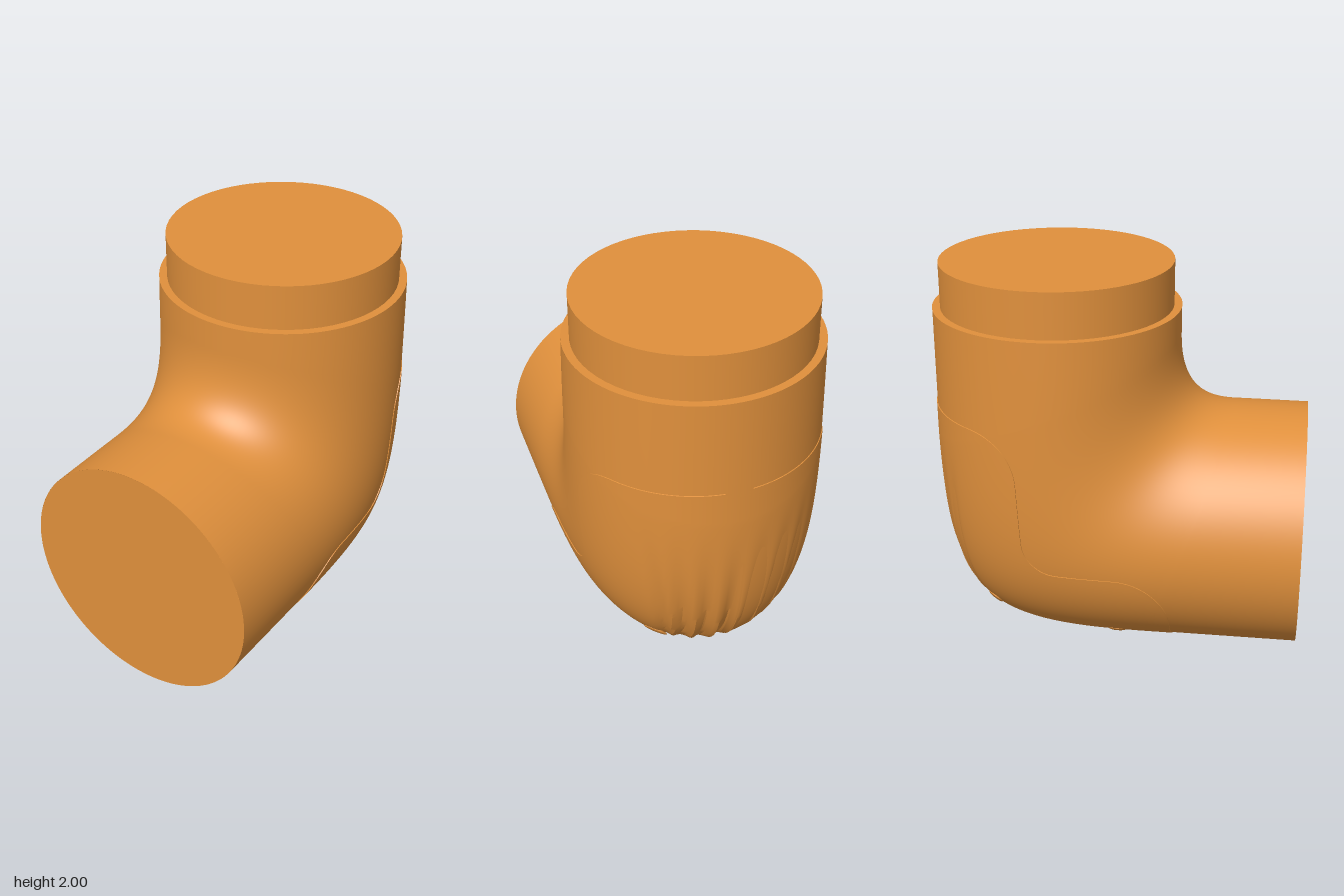
import * as THREE from 'three';
import { toCreasedNormals } from 'three/addons/utils/BufferGeometryUtils.js';

const V2 = (z, y) => new THREE.Vector2(z, y); // side-plane points are (z, y)
const lerp = THREE.MathUtils.lerp;

// Inner and outer profile of the bend
const innerBend = new THREE.QuadraticBezierCurve(V2(0.58, 1.255), V2(0.3, 1.255), V2(0.3, 1.62));
const outerBend = new THREE.CubicBezierCurve(V2(0.1, 0.004), V2(-0.75, 0.004), V2(-0.93, 0.13), V2(-0.947, 1.1));

// Profile at u: -1..0 front pipe, 0..1 bend, 1..2 upright pipe
function profile(curve, u) {
  const p = curve.getPoint(THREE.MathUtils.clamp(u, 0, 1));
  if (u < 0) p.x = lerp(p.x, 0.95, -u);
  if (u > 1) p.y = lerp(p.y, 1.77, u - 1);
  return p;
}

// Shallow flutes fanning over the heel
function flute(u, a) {
  const reach = 0.22 + 0.62 * THREE.MathUtils.clamp(u, 0, 1);
  const along = THREE.MathUtils.smoothstep(u, 0.3, 0.6) * (1 - THREE.MathUtils.smoothstep(u, 0.65, 1.0));
  const k = Math.abs(a) / reach;
  if (k > 1) return 0;
  const wave = 0.5 + 0.5 * Math.cos(k * Math.PI * 7);
  return -0.032 * along * wave * (1 - k ** 6);
}

// Surface point: a = 0 is the heel side, a = PI the inside of the bend
function surface(u, a, offset = 0) {
  const i = profile(innerBend, u), o = profile(outerBend, u);
  const c = i.clone().add(o).multiplyScalar(0.5);
  const half = o.clone().sub(c);
  const d = offset + flute(u, a);
  const bulge = 0.008 * Math.sin(Math.PI * THREE.MathUtils.clamp((u + 1) / 3, 0, 1));
  half.setLength(half.length() + d);
  return new THREE.Vector3(
    (0.625 + bulge + d) * Math.sin(a),
    c.y + half.y * Math.cos(a),
    c.x + half.x * Math.cos(a));
}

// Grid of points; the columns may wrap around
function gridGeometry(rows, cols, point, closed) {
  const pos = [], idx = [], w = closed ? cols : cols + 1;
  for (let i = 0; i <= rows; i++)
    for (let j = 0; j < w; j++) pos.push(...point(i, j).toArray());
  for (let i = 0; i < rows; i++)
    for (let j = 0; j < cols; j++) {
      const k = (j + 1) % w, a = i * w + j, b = a + w, c = i * w + k, d = c + w;
      idx.push(a, b, c, b, d, c);
    }
  const g = new THREE.BufferGeometry();
  g.setAttribute('position', new THREE.Float32BufferAttribute(pos, 3));
  g.setIndex(idx);
  g.computeVertexNormals();
  return g;
}

// Side outline of the heel panel
function panelOutline() {
  const s = new THREE.Shape();
  s.moveTo(0.31, -0.2);
  s.lineTo(0.31, 0.27);
  s.bezierCurveTo(0.31, 0.42, 0.19, 0.545, 0.04, 0.545);
  s.lineTo(-0.25, 0.545);
  s.bezierCurveTo(-0.34, 0.545, -0.42, 0.62, -0.42, 0.72);
  s.lineTo(-0.435, 1.03);
  s.bezierCurveTo(-0.44, 1.17, -0.54, 1.28, -0.68, 1.28);
  s.lineTo(-1.2, 1.28);
  s.lineTo(-1.2, -0.2);
  return s.getPoints(16);
}

function inside(poly, x, y) {
  let hit = false;
  for (let i = 0, j = poly.length - 1; i < poly.length; j = i++) {
    const p = poly[i], q = poly[j];
    if ((p.y > y) !== (q.y > y) && x < (q.x - p.x) * (y - p.y) / (q.y - p.y) + p.x) hit = !hit;
  }
  return hit;
}

function panelGeometry() {
  const poly = panelOutline(), rows = 160, cols = 72, u0 = -0.246, u1 = 1.267;
  const rowU = i => lerp(u0, u1, 0.5 - 0.5 * Math.cos(Math.PI * i / rows));
  // Angle at which each section leaves the outline
  const limit = [];
  for (let i = 0; i <= rows; i++) {
    let lo = 0.02, hi = 2.6;
    for (let n = 0; n < 24; n++) {
      const mid = (lo + hi) / 2, p = surface(rowU(i), mid);
      if (inside(poly, p.z, p.y)) lo = mid; else hi = mid;
    }
    limit.push(lo);
  }
  // The first and last columns fold inward as a rim
  const g = gridGeometry(rows, cols, (i, j) => {
    const t = THREE.MathUtils.clamp((j - 1) / (cols - 2), 0, 1);
    const rim = j === 0 || j === cols;
    return surface(rowU(i), lerp(-limit[i], limit[i], t), rim ? -0.008 : 0.004);
  }, false);
  return toCreasedNormals(g, 0.7);
}

export function createModel() {
  const group = new THREE.Group();
  const material = new THREE.MeshStandardMaterial({ color: 0xe0903c, side: THREE.DoubleSide });
  const add = (name, geometry) => {
    const m = new THREE.Mesh(geometry, material);
    m.name = name;
    group.add(m);
    return m;
  };

  // Elbow body
  const rows = 150, cols = 120;
  add('elbowBody', gridGeometry(rows, cols,
    (i, j) => surface(lerp(-1, 2, i / rows), j / cols * Math.PI * 2), true));

  // Front end cap and upper shoulder
  add('frontCap', new THREE.CircleGeometry(0.625, 96)).position.set(0, 0.6295, 0.95);
  const shoulder = add('shoulder', new THREE.CircleGeometry(0.625, 96));
  shoulder.rotation.x = -Math.PI / 2;
  shoulder.position.set(0, 1.77, -0.3235);

  // Stepped collar on top
  add('collar', new THREE.CylinderGeometry(0.585, 0.585, 0.24, 64)).position.set(0, 1.88, -0.3235);

  // Heel panel
  add('heelPanel', panelGeometry());

  // Round studs on both sides of the heel
  for (const side of [-1, 1])
    for (const [u, a, rx, ry] of [[0.05, 0.58, 0.045, 0.05], [0.46, 0.5, 0.045, 0.065]]) {
      const p = surface(u, a * side, 0.002);
      const du = surface(u + 0.01, a * side, 0.002).sub(p).normalize();
      const da = surface(u, a * side + 0.01, 0.002).sub(p).normalize();
      const n = du.clone().cross(da).normalize();
      const stud = add('stud', new THREE.SphereGeometry(1, 24, 12));
      stud.position.copy(p);
      stud.quaternion.setFromRotationMatrix(new THREE.Matrix4().makeBasis(du, n.clone().cross(du), n));
      stud.scale.set(rx, ry, 0.01);
    }
  return group;
}
